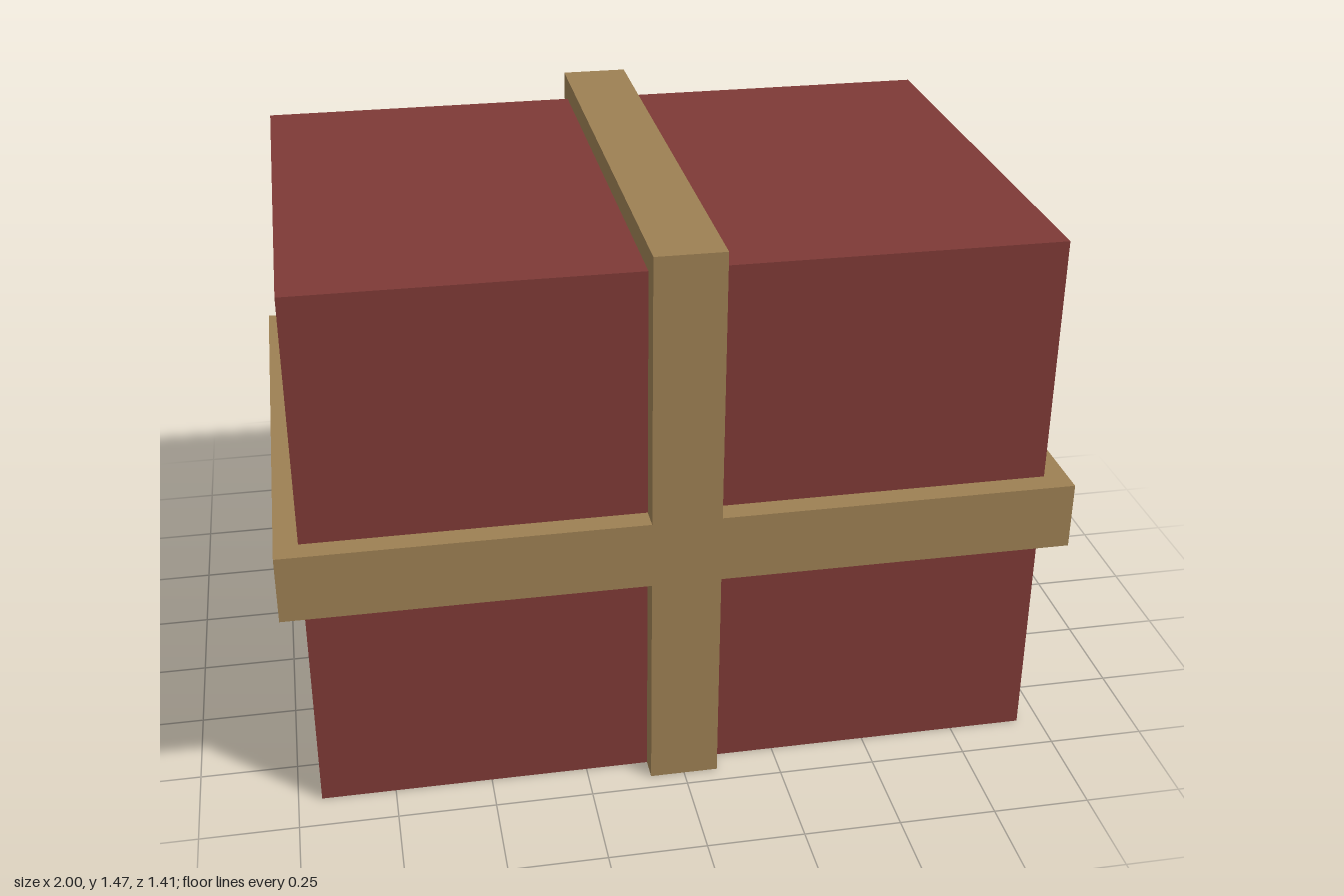
import * as THREE from 'three';

// Half-width, height and half-depth of the box, and how far the bands stand out
const W = 0.94, H = 1.412, D = 0.645, T = 0.06;
const BAND = 0.176;

const outline = (Type, x0, y0, x1, y1) => new Type([
  new THREE.Vector2(x0, y0), new THREE.Vector2(x1, y0),
  new THREE.Vector2(x1, y1), new THREE.Vector2(x0, y1),
]);

function extrudeBand(shape) {
  const geometry = new THREE.ExtrudeGeometry(shape, { depth: BAND, bevelEnabled: false });
  return geometry.translate(0, 0, -BAND / 2);
}

export function createModel() {
  const model = new THREE.Group();
  model.name = 'giftBox';
  const boxRed = new THREE.MeshStandardMaterial({ name: 'boxRed', color: 0x7e3a36 });
  const ribbonGold = new THREE.MeshStandardMaterial({ name: 'ribbonGold', color: 0x9d8053 });

  const add = (name, geometry, material) => {
    const mesh = new THREE.Mesh(geometry, material);
    mesh.name = name;
    model.add(mesh);
    return mesh;
  };

  // Plain box body
  add('box', new THREE.BoxGeometry(2 * W, H, 2 * D), boxRed).position.y = H / 2;

  // Arch running up the front, over the top and down the back, open underneath
  const arch = new THREE.Shape([
    [-D - T, 0], [-D, 0], [-D, H], [D, H], [D, 0], [D + T, 0], [D + T, H + T], [-D - T, H + T],
  ].map(([x, y]) => new THREE.Vector2(x, y)));
  add('verticalRibbon', extrudeBand(arch).rotateY(Math.PI / 2), ribbonGold);

  // Belt around the four sides
  const belt = outline(THREE.Shape, -W - T, -D - T, W + T, D + T);
  belt.holes.push(outline(THREE.Path, -W, -D, W, D));
  add('horizontalRibbon', extrudeBand(belt).rotateX(-Math.PI / 2), ribbonGold).position.y = 0.678;

  return model;
}
